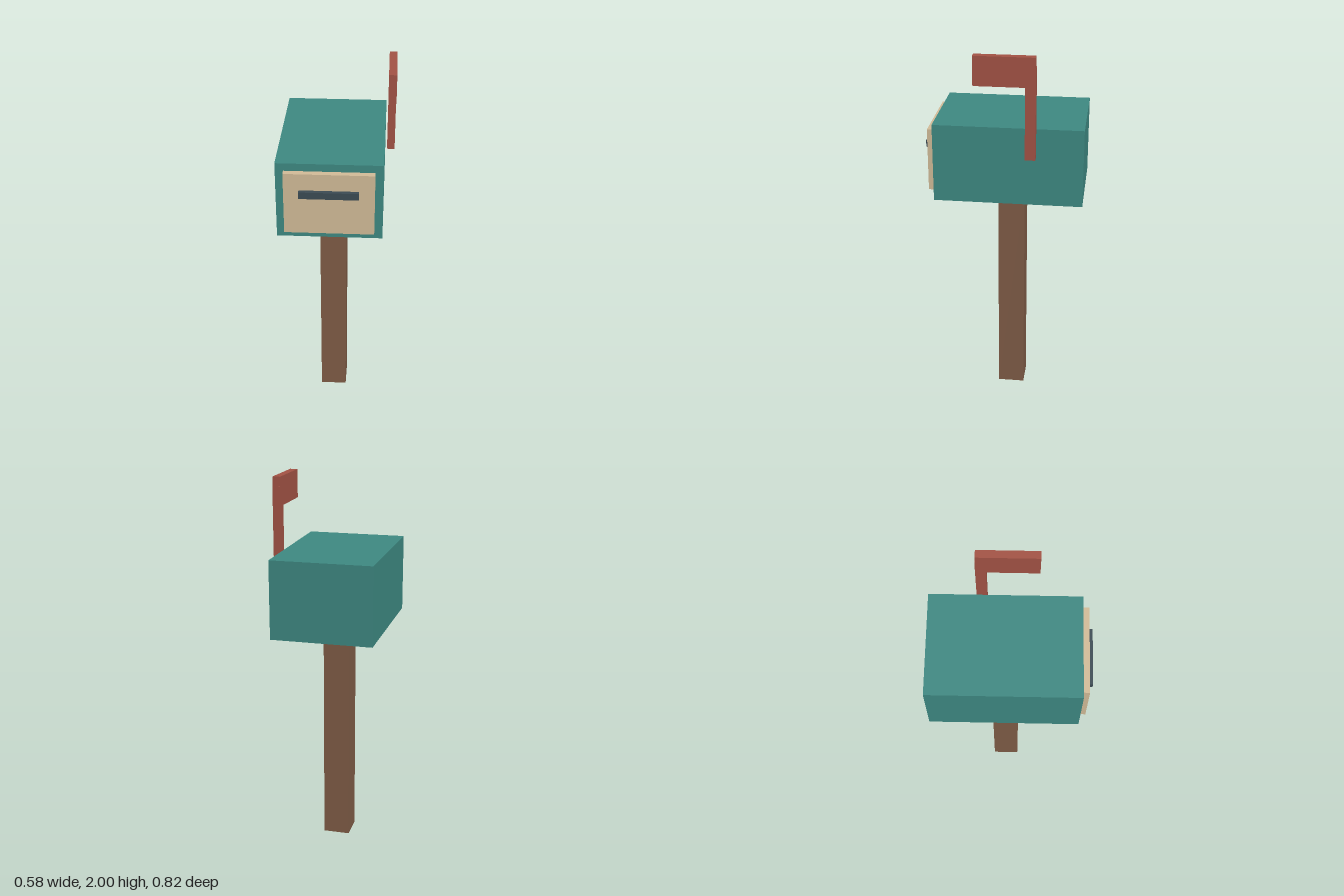
import * as THREE from 'three';

// Box given by its extents along each axis
function block(name, color, [x0, x1], [y0, y1], [z0, z1]) {
  const mesh = new THREE.Mesh(
    new THREE.BoxGeometry(x1 - x0, y1 - y0, z1 - z0),
    new THREE.MeshStandardMaterial({ color })
  );
  mesh.position.set((x0 + x1) / 2, (y0 + y1) / 2, (z0 + z1) / 2);
  mesh.name = name;
  return mesh;
}

export function createModel() {
  const model = new THREE.Group();
  model.name = 'mailbox';

  // Post and box
  model.add(block('post', 0x7f5c46, [-0.096, 0.045], [0, 1.214], [-0.096, 0.046]));
  model.add(block('boxBody', 0x3e8982, [-0.291, 0.24], [1.214, 1.624], [-0.411, 0.356]));

  // Front door with its handle
  const door = new THREE.Group();
  door.name = 'door';
  door.add(block('doorPanel', 0xd2bc98, [-0.25, 0.199], [1.255, 1.584], [0.356, 0.389]));
  door.add(block('doorHandle', 0x3c4b54, [-0.174, 0.121], [1.46, 1.496], [0.389, 0.411]));
  model.add(door);

  // Signal flag standing just clear of the left wall
  const flag = new THREE.Group();
  flag.name = 'signalFlag';
  flag.add(block('flagArm', 0xa35345, [0.25, 0.29], [1.476, 1.95], [-0.172, -0.119]));
  flag.add(block('flagPlate', 0xa35345, [0.25, 0.29], [1.85, 2], [-0.169, 0.138]));
  model.add(flag);

  return model;
}
